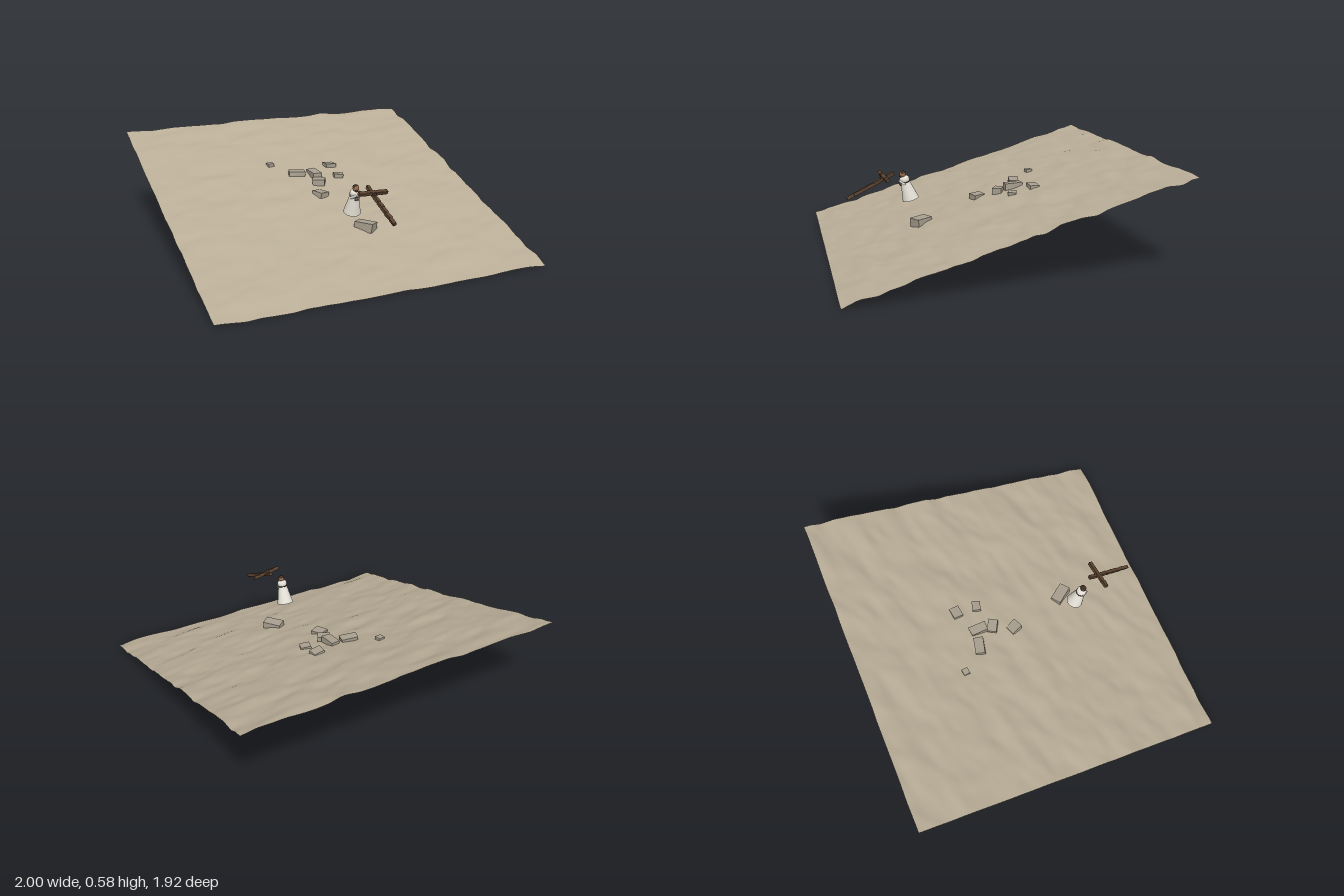
import * as THREE from 'three';

const TILT = 0.288, MID = 0.3;

// small deterministic hash and smooth value noise
const hash = (i, j) => {
  const s = Math.sin(i * 127.1 + j * 311.7) * 43758.5453;
  return s - Math.floor(s);
};
const smooth = t => t * t * (3 - 2 * t);
function noise(x, y) {
  const i = Math.floor(x), j = Math.floor(y), u = smooth(x - i), v = smooth(y - j);
  const a = hash(i, j) + (hash(i + 1, j) - hash(i, j)) * u;
  const b = hash(i, j + 1) + (hash(i + 1, j + 1) - hash(i, j + 1)) * u;
  return a + (b - a) * v - 0.5;
}

// level position -> position in the frame of the slope
const onSlope = (x, y, z) =>
  new THREE.Vector3(x, y - MID, z).applyAxisAngle(new THREE.Vector3(1, 0, 0), -TILT);

const material = (color, extra = {}) => {
  const m = new THREE.MeshStandardMaterial({ color, ...extra });
  return m;
};

function add(parent, name, geometry, mat, x = 0, y = 0, z = 0) {
  const mesh = new THREE.Mesh(geometry, mat);
  mesh.name = name;
  mesh.position.set(x, y, z);
  parent.add(mesh);
  return mesh;
}

export function createModel() {
  const model = new THREE.Group();
  model.name = 'hillsideScene';
  const slope = new THREE.Group();
  slope.name = 'slope';
  slope.position.y = MID;
  slope.rotation.x = TILT;
  model.add(slope);

  const sand = material(0xb9ad97, { side: THREE.DoubleSide });
  const stone = material(0xa79e8e, { flatShading: true });
  const cloth = material(0xe6e2d8);
  const skin = material(0x9a6b4a);
  const hair = material(0x3f2c20);
  const wood = material(0x5a4230, { flatShading: true });

  // rippled ground sheet
  const ground = new THREE.PlaneGeometry(2, 2, 100, 100).rotateX(-Math.PI / 2);
  const p = ground.attributes.position;
  for (let i = 0; i < p.count; i++) {
    const x = p.getX(i), z = p.getZ(i), w = z + 0.2 * x;
    p.setY(i, 0.02 * noise(x * 5 + 20, w * 10 + 20) + 0.008 * noise(x * 12 + 50, w * 20 + 50));
  }
  ground.computeVertexNormals();
  add(slope, 'ground', ground, sand);

  // scattered stones: x, y, z, width, thickness, depth, turn
  const stones = [
    [-0.20, 0.415, -0.375, 0.04, 0.02, 0.04, 0.15],
    [-0.07, 0.380, -0.235, 0.10, 0.03, 0.06, -0.25],
    [0.035, 0.370, -0.20, 0.055, 0.045, 0.11, 0.05],
    [0.03, 0.345, -0.11, 0.08, 0.04, 0.06, -0.5],
    [0.18, 0.395, -0.29, 0.075, 0.025, 0.06, 0.1],
    [0.185, 0.358, -0.155, 0.065, 0.025, 0.05, -0.3],
    [-0.015, 0.305, 0.015, 0.065, 0.035, 0.075, 0.4],
    [0.112, 0.197, 0.39, 0.07, 0.055, 0.12, 0.64],
  ];
  stones.forEach(([x, y, z, w, h, d, turn], k) => {
    const g = new THREE.BoxGeometry(w, h, d);
    const q = g.attributes.position;
    for (let i = 0; i < q.count; i++) {
      const corner = (q.getX(i) > 0) + 2 * (q.getY(i) > 0) + 4 * (q.getZ(i) > 0);
      q.setX(i, q.getX(i) * (0.88 + 0.2 * hash(corner, k)));
      q.setZ(i, q.getZ(i) * (0.88 + 0.2 * hash(corner, k + 9)));
    }
    g.computeVertexNormals();
    const rock = add(model, 'stone', g, stone, x, y, z);
    rock.rotation.set(0.1 * (hash(k, 3) - 0.3), turn, 0.2 * (hash(k, 5) - 0.5));
  });

  // robed figure, standing square to the slope
  const figure = new THREE.Group();
  figure.name = 'figure';
  figure.position.set(0, 0.137, 0.412);
  slope.add(figure);
  add(figure, 'robe', new THREE.CylinderGeometry(0.027, 0.051, 0.115, 24), cloth, 0, 0.0575, 0);
  const belt = add(figure, 'belt', new THREE.TorusGeometry(0.027, 0.003, 6, 24), hair, 0, 0.113, 0);
  belt.rotation.x = Math.PI / 2;
  const shoulders = new THREE.LatheGeometry([[0.026, 0.112], [0.03, 0.125], [0.03, 0.137],
    [0.023, 0.148], [0, 0.152]].map(([r, y]) => new THREE.Vector2(r, y)), 24);
  add(figure, 'shoulders', shoulders, cloth);
  const head = add(figure, 'head', new THREE.SphereGeometry(0.018, 16, 12), skin, 0, 0.162, 0.002);
  head.scale.y = 1.1;
  add(figure, 'hair', new THREE.SphereGeometry(0.0195, 16, 8, 0, Math.PI * 2, 0, 1.3), hair, 0, 0.164, -0.002);
  add(figure, 'beard', new THREE.SphereGeometry(0.011, 10, 8), hair, 0, 0.151, 0.012);
  for (const s of [-1, 1]) {
    const arm = add(figure, 'sleeve', new THREE.CapsuleGeometry(0.008, 0.03, 4, 10), cloth, s * 0.018, 0.118, 0.02);
    arm.rotation.set(0.7, 0, s * 0.4);
    add(figure, 'hand', new THREE.SphereGeometry(0.006, 8, 6), skin, s * 0.008, 0.104, 0.034);
  }

  // wooden cross: each beam is a stepped row of rough blocks
  const cross = new THREE.Group();
  cross.name = 'cross';
  slope.add(cross);
  function beam(name, from, to, count, size) {
    for (let i = 0; i < count; i++) {
      const at = from.clone().lerp(to, (i + 0.5) / count);
      const block = add(cross, name, new THREE.BoxGeometry(...size), wood, at.x, at.y, at.z);
      block.rotation.set(0.08 + 0.2 * (hash(i, 1) - 0.5), 0.25 * (hash(i, 2) - 0.5) + 0.08, 0.5 * (hash(i, 4) - 0.5));
    }
  }
  beam('upright', onSlope(0.043, 0.49, 0.54), onSlope(0.068, 0.352, 0.825), 7, [0.02, 0.02, 0.046]);
  beam('crossbeam', onSlope(-0.045, 0.478, 0.615), onSlope(0.14, 0.462, 0.59), 5, [0.042, 0.02, 0.022]);

  return model;
}
